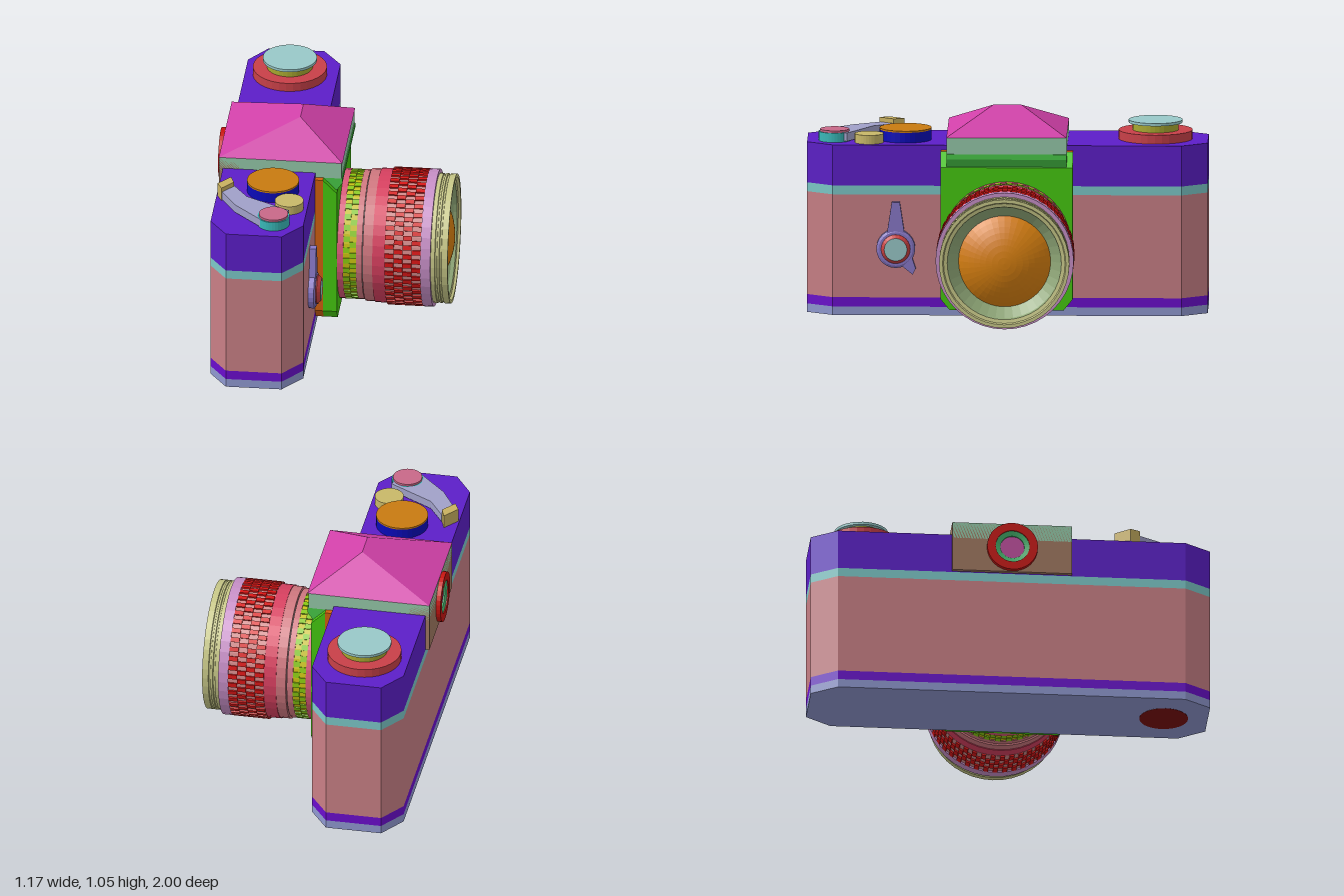
import * as THREE from 'three';
import { ConvexGeometry } from 'three/addons/geometries/ConvexGeometry.js';

const LENS_Y = 0.37;

export function createModel() {
  const model = new THREE.Group();
  model.name = 'camera';

  const add = (name, geometry, color, parent = model, side = THREE.FrontSide) => {
    const mesh = new THREE.Mesh(geometry, new THREE.MeshStandardMaterial({ color, flatShading: true, side }));
    mesh.name = name;
    parent.add(mesh);
    return mesh;
  };
  const group = (name) => {
    const g = new THREE.Group();
    g.name = name;
    model.add(g);
    return g;
  };
  const extrude = (shape, depth) =>
    new THREE.ExtrudeGeometry(shape, { depth, bevelEnabled: false, curveSegments: 16 });
  // Plan outline of [x, z] points raised from y0 to y1
  const slab = (points, y0, y1) =>
    extrude(new THREE.Shape(points.map(([x, z]) => new THREE.Vector2(x, -z))), y1 - y0)
      .rotateX(-Math.PI / 2).translate(0, y0, 0);
  // Outline of [z, y] points pushed forward from x0 to x1
  const plate = (points, x0, x1) =>
    extrude(new THREE.Shape(points.map(([z, y]) => new THREE.Vector2(-z, y))), x1 - x0)
      .rotateY(Math.PI / 2).translate(x0, 0, 0);
  // Profile of [radius, x] points turned about the x axis
  const turned = (points, y = LENS_Y, z = 0, sides = 40) =>
    new THREE.LatheGeometry(points.map(([r, x]) => new THREE.Vector2(r, x)), sides)
      .rotateZ(-Math.PI / 2).translate(0, y, z);
  const upright = (x, z, r, y0, y1) =>
    new THREE.CylinderGeometry(r, r, y1 - y0, 32).translate(x, (y0 + y1) / 2, z);

  // Body: octagonal plan stacked in bands
  const body = group('body');
  const plan = [
    [-0.455, 1], [-0.175, 1], [-0.08, 0.87], [-0.08, -0.87],
    [-0.175, -1], [-0.455, -1], [-0.545, -0.87], [-0.545, 0.87],
  ];
  [
    ['bottomPlate', 0, 0.043, 0x8f98d0],
    ['lowerTrim', 0.043, 0.09, 0x6a0dcc],
    ['grip', 0.09, 0.61, 0xc87f85],
    ['upperTrim', 0.61, 0.655, 0x7cc8c8],
    ['topCover', 0.655, 0.86, 0x5c1ec8],
  ].forEach(([name, y0, y1, color]) => add(name, slab(plan, y0, y1), color, body));
  add('batteryCover', upright(-0.31, 0.78, 0.122, -0.001, 0.01), 0x7a0a0a, body);

  // Mount plate, with the front part sloping down at the top
  const mount = group('lensMount');
  const outline = [[-0.33, 0.835], [-0.33, 0.1], [-0.285, 0.045], [0.285, 0.045], [0.33, 0.1], [0.33, 0.835]];
  add('mountBase', plate(outline, -0.08, -0.04), 0xd0600f, mount);
  const front = plate(outline, -0.04, 0.03);
  const p = front.attributes.position;
  for (let i = 0; i < p.count; i++) if (p.getX(i) > 0 && p.getY(i) > 0.8) p.setY(i, 0.765);
  front.computeVertexNormals();
  add('mountFront', front, 0x45c810, mount);

  // Prism housing: long box, sloping chin and hipped roof
  const prism = group('prismHousing');
  add('housing', new THREE.BoxGeometry(0.615, 0.085, 0.6).translate(-0.2575, 0.8775, 0), 0x94c8a8, prism);
  add('eyepieceBlock', new THREE.BoxGeometry(0.1, 0.26, 0.6).translate(-0.515, 0.79, 0), 0xa07860, prism);
  const chin = new THREE.Shape(
    [[-0.04, 0.836], [0.025, 0.765], [0.055, 0.81], [0.055, 0.836]].map(([x, y]) => new THREE.Vector2(x, y)));
  add('chin', extrude(chin, 0.6).translate(0, 0, -0.3), 0x48c848, prism);
  const roof = [[-0.18, 1.05, 0.07], [-0.18, 1.05, -0.07]];
  for (const x of [-0.565, 0.055]) for (const z of [-0.3, 0.3]) roof.push([x, 0.92, z]);
  add('roof', new ConvexGeometry(roof.map((v) => new THREE.Vector3(...v))), 0xd040a8, prism);

  // Eyepiece on the back
  const eyepiece = group('eyepiece');
  add('eyecup', turned([[0.085, -0.565], [0.085, -0.588], [0.127, -0.588], [0.127, -0.565]].map(
    ([r, x]) => [r, x]), 0.79, 0, 32), 0xc81410, eyepiece, THREE.DoubleSide);
  add('eyepieceRing', turned([[0.06, -0.565], [0.06, -0.575], [0.085, -0.582]], 0.79, 0, 32),
    0x48b870, eyepiece, THREE.DoubleSide);
  add('eyepieceGlass', turned([[0, -0.568], [0.062, -0.568]], 0.79, 0, 32), 0xc050a0, eyepiece, THREE.DoubleSide);

  // Lens barrel: plain rings
  const lens = group('lens');
  [
    ['rearRing', 0.03, 0.06, 0.325, 0xd85878],
    ['apertureCore', 0.06, 0.125, 0.319, 0xc8c010],
    ['apertureRing', 0.125, 0.155, 0.325, 0xd07880],
    ['groove', 0.155, 0.159, 0.317, 0x808080],
    ['scaleRing', 0.159, 0.208, 0.332, 0xd07880],
    ['distanceRing', 0.208, 0.27, 0.336, 0xd84060],
    ['focusCore', 0.27, 0.45, 0.337, 0xd08888],
    ['frontCollar', 0.45, 0.5, 0.345, 0xc890c8],
  ].forEach(([name, x0, x1, r, color]) =>
    add(name, turned([[0, x0], [r, x0], [r, x1], [0, x1]]), color, lens));

  // Staggered knurling: toothed rings, alternate ones turned by half a tooth
  const knurl = (name, x0, x1, rows, teeth, r0, r1, color) => {
    const w = (x1 - x0) / rows;
    for (let row = 0; row < rows; row++) {
      const points = [];
      for (let i = 0; i < teeth * 2; i++) {
        const r = (i + row) % 2 ? r0 : r1;
        for (const k of [0, 1]) {
          const a = ((i + k) / (teeth * 2)) * Math.PI * 2;
          points.push([r * Math.cos(a), LENS_Y + r * Math.sin(a)]);
        }
      }
      add(name, plate(points, x0 + row * w, x0 + (row + 1) * w), color, lens);
    }
  };
  knurl('apertureKnurl', 0.06, 0.125, 2, 36, 0.317, 0.325, 0x88c810);
  knurl('focusKnurl', 0.27, 0.45, 4, 45, 0.335, 0.345, 0xd81414);

  // Hollow front rim with shallow grooves, then the glass
  add('frontRim', turned([
    [0.325, 0.5], [0.325, 0.52], [0.319, 0.522], [0.319, 0.53], [0.325, 0.532], [0.325, 0.542],
    [0.319, 0.544], [0.319, 0.552], [0.325, 0.554], [0.325, 0.585], [0.308, 0.585],
    [0.303, 0.572], [0.285, 0.568],
  ]), 0xc8c888, lens);
  add('innerCone', turned([[0.285, 0.568], [0.28, 0.55], [0.228, 0.5]]), 0x90a878, lens, THREE.DoubleSide);
  const dome = [];
  for (let i = 0; i <= 8; i++) {
    const a = 0.71 * (1 - i / 8);
    dome.push([0.354 * Math.sin(a), 0.233 + 0.354 * Math.cos(a)]);
  }
  add('frontGlass', turned(dome), 0xd88010, lens);

  // Self-timer lever on the front
  const timer = group('selfTimer');
  const ty = 0.34, tz = 0.555;
  add('timerDisc', turned([[0, -0.08], [0.097, -0.08], [0.097, -0.052], [0.085, -0.045], [0, -0.045]], ty, tz, 24),
    0x8878c8, timer);
  add('timerArm', plate([[0.6, 0.41], [0.575, 0.575], [0.535, 0.575], [0.51, 0.41]], -0.08, -0.047), 0x8878c8, timer);
  add('timerTab', plate([[0.52, 0.25], [0.47, 0.21], [0.455, 0.24], [0.475, 0.3]], -0.08, -0.047), 0x8878c8, timer);
  add('timerHub', turned([[0.073, -0.045], [0.073, -0.04], [0.057, -0.022]], ty, tz, 24), 0xc84040, timer);
  add('timerButton', turned([[0.057, -0.022], [0, -0.022]], ty, tz, 24), 0x98c8c8, timer);

  // Rewind knob
  const rewind = group('rewindKnob');
  add('rewindBase', upright(-0.32, -0.737, 0.185, 0.86, 0.905), 0xc84048, rewind);
  add('rewindStem', upright(-0.32, -0.737, 0.115, 0.905, 0.942), 0xa8a830, rewind);
  add('rewindCap', upright(-0.32, -0.737, 0.135, 0.942, 0.956), 0x98c8c8, rewind);

  // Shutter controls and film advance lever
  const controls = group('topControls');
  add('speedDialSide', upright(-0.27, 0.51, 0.13, 0.86, 0.912), 0x0a0ab8, controls);
  add('speedDialTop', upright(-0.27, 0.51, 0.13, 0.912, 0.92), 0xc87a10, controls);
  add('shutterButton', upright(-0.17, 0.69, 0.072, 0.86, 0.905), 0xc8b868, controls);
  add('advancePivot', upright(-0.23, 0.863, 0.08, 0.86, 0.907), 0x38b8b8, controls);
  add('advanceCap', upright(-0.23, 0.863, 0.073, 0.907, 0.918), 0xc86888, controls);
  add('advanceLever', slab([
    [-0.46, 0.565], [-0.385, 0.675], [-0.16, 0.8], [-0.2, 0.9], [-0.29, 0.915], [-0.43, 0.775], [-0.515, 0.635],
  ], 0.865, 0.907), 0xa0a0c8, controls);
  add('advanceTip', slab([[-0.48, 0.52], [-0.46, 0.575], [-0.515, 0.645], [-0.54, 0.595]], 0.86, 0.93),
    0xc8b060, controls);

  return model;
}
